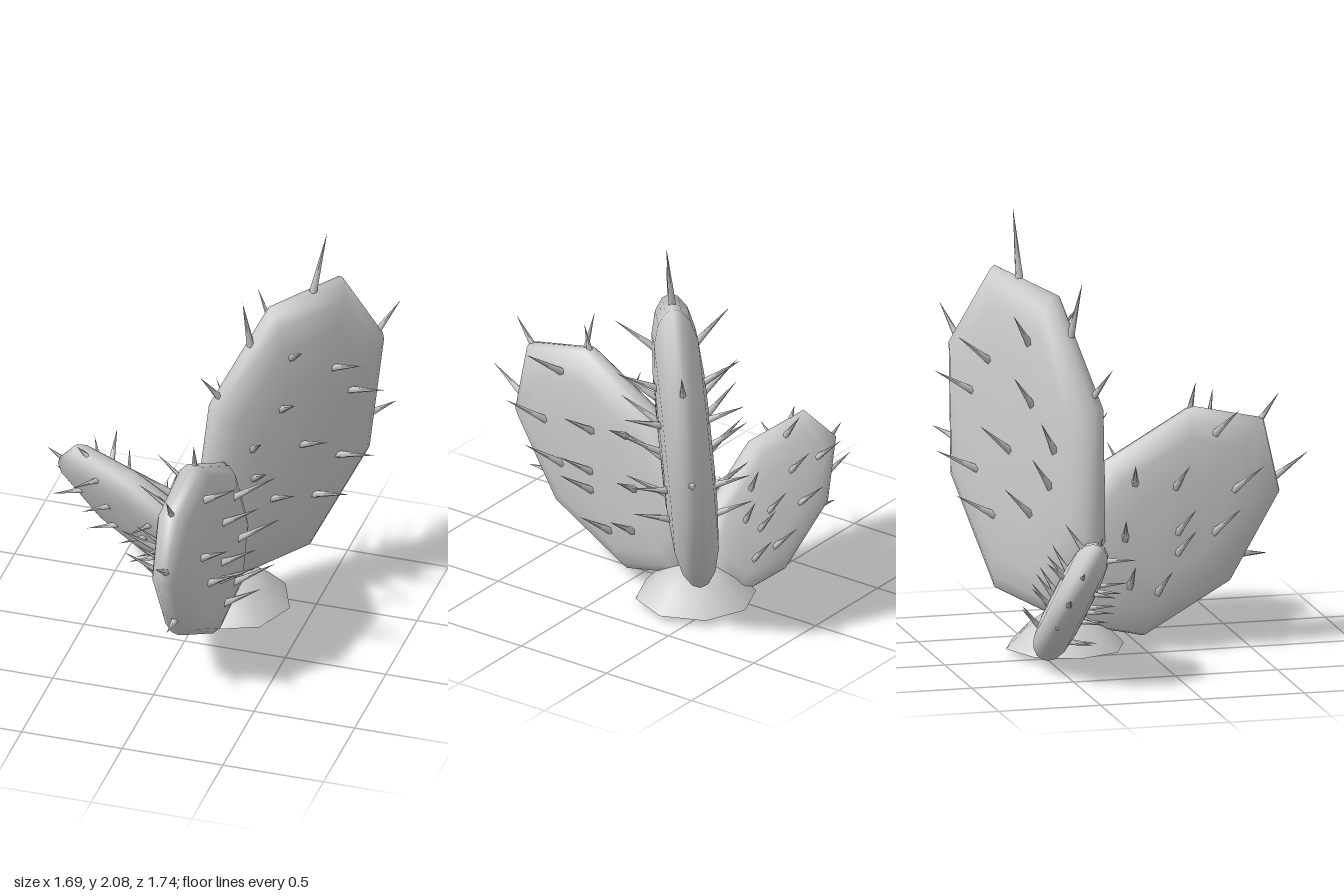
import * as THREE from 'three';

const V3 = (a) => new THREE.Vector3(...a);
const material = new THREE.MeshStandardMaterial({ color: 0xcccccc });

// half cross-section of a pad: [radius, height], both relative
const half = [[1, 0], [0.98, 0.3], [0.9, 0.62], [0.75, 0.84], [0.45, 0.97], [0.001, 1]];
const profile = [
  ...half.slice(1).reverse().map(([r, h]) => new THREE.Vector2(r, -h)),
  ...half.map(([r, h]) => new THREE.Vector2(r, h)),
];

// relative pad thickness at a relative radius
function heightAt(r) {
  for (let i = 1; i < half.length; i++) {
    const [r1, h1] = half[i], [r0, h0] = half[i - 1];
    if (r >= r1) return h1 + (h0 - h1) * (r - r1) / (r0 - r1);
  }
  return 1;
}

// spine positions on a pad face, in units of the pad's two half axes [u, v]
const faceSpines = [
  [0.18, 0.53], [-0.16, 0.42], [-0.26, 0.11], [-0.58, 0.0], [0.35, -0.04], [0.48, -0.43],
  [-0.07, 0.07], [0.0, -0.42], [-0.45, -0.28], [0.74, 0.25],
];
const tallSpines = [
  [0.5, -0.12], [0.17, 0.33], [0.38, -0.41], [-0.02, -0.06], [-0.04, -0.54], [-0.32, -0.43],
  [-0.4, 0.05], [-0.12, 0.5], [-0.3, 0.36], [0.5, 0.42],
];

// centre, half axes u (length) and v (width), half thickness, spines;
// rim entries are [angle in degrees, spine length]
const pads = [
  {
    name: 'frontPad', centre: [0.115, 0.61, 0.12], u: [0.01, 0.55, 0.12], v: [-0.01, 0.12, 0.55],
    thick: 0.122, spines: faceSpines, length: 0.25, radius: 0.02,
    rim: [[0, 0.17], [45, 0.2], [82, 0.22], [122, 0.13], [-48, 0.17]],
  },
  {
    name: 'tallPad', centre: [0.365, 0.975, -0.5], u: [0.235, 0.815, -0.1], v: [-0.305, 0.205, 0.28],
    thick: 0.125, spines: tallSpines, length: 0.24, radius: 0.02,
    rim: [[18, 0.34], [60, 0.27], [-42, 0.22], [-78, 0.15], [85, 0.2]],
  },
  {
    name: 'sidePad', centre: [-0.335, 0.352, -0.47], u: [-0.355, 0.348, 0.045], v: [0.285, 0.055, 0.14],
    thick: 0.095, spines: faceSpines, length: 0.16, radius: 0.016,
    rim: [[-43, 0.12], [10, 0.08], [-68, 0.15], [-92, 0.1]],
  },
];

// cone with its base sunk slightly below the start point
function spine(base, dir, length, radius) {
  const geo = new THREE.ConeGeometry(radius, length, 5, 1, true).translate(0, length / 2 - 0.02, 0);
  const mesh = new THREE.Mesh(geo, material);
  mesh.name = 'spine';
  mesh.position.copy(base);
  mesh.quaternion.setFromUnitVectors(new THREE.Vector3(0, 1, 0), dir.clone().normalize());
  return mesh;
}

function makePad(p) {
  const group = new THREE.Group();
  group.name = p.name;
  const c = V3(p.centre), u = V3(p.u), v = V3(p.v);
  const n = u.clone().cross(v).normalize();
  const along = u.clone().normalize(), across = v.clone().normalize();

  // octagonal, flattened body
  const body = new THREE.LatheGeometry(profile, 8);
  body.applyMatrix4(new THREE.Matrix4().makeBasis(v, n.clone().multiplyScalar(p.thick), u).setPosition(c));
  const mesh = new THREE.Mesh(body, material);
  mesh.name = p.name + 'Body';
  group.add(mesh);

  // spines on both faces, leaning towards the tip
  for (const side of [1, -1]) {
    for (const [a, b] of p.spines) {
      const base = c.clone().addScaledVector(u, a).addScaledVector(v, b)
        .addScaledVector(n, side * p.thick * heightAt(Math.hypot(a, b)));
      const dir = n.clone().multiplyScalar(side).addScaledVector(along, 0.75).addScaledVector(across, b * 0.9);
      group.add(spine(base, dir, p.length, p.radius));
    }
  }

  // spines around the rim
  for (const [deg, length] of p.rim) {
    const t = THREE.MathUtils.degToRad(deg);
    const out = u.clone().multiplyScalar(Math.cos(t)).addScaledVector(v, Math.sin(t));
    const base = c.clone().addScaledVector(out, 0.94);
    const dir = out.normalize().addScaledVector(along, 0.4);
    group.add(spine(base, dir, length, p.radius));
  }
  return group;
}

export function createModel() {
  const model = new THREE.Group();
  model.name = 'pricklyPlant';
  pads.forEach((p) => model.add(makePad(p)));

  // low mound of soil at the foot
  const mound = new THREE.Group();
  mound.name = 'mound';
  const dome = new THREE.LatheGeometry(
    [[0.29, 0], [0.2, 0.09], [0.11, 0.155], [0.001, 0.18]].map(([r, y]) => new THREE.Vector2(r, y)), 8);
  const floor = new THREE.CircleGeometry(0.29, 8).rotateX(Math.PI / 2);
  for (const [name, geo] of [['moundTop', dome], ['moundBottom', floor]]) {
    const mesh = new THREE.Mesh(geo, material);
    mesh.name = name;
    mound.add(mesh);
  }
  mound.position.set(0.115, 0.03, -0.38);
  model.add(mound);
  return model;
}
